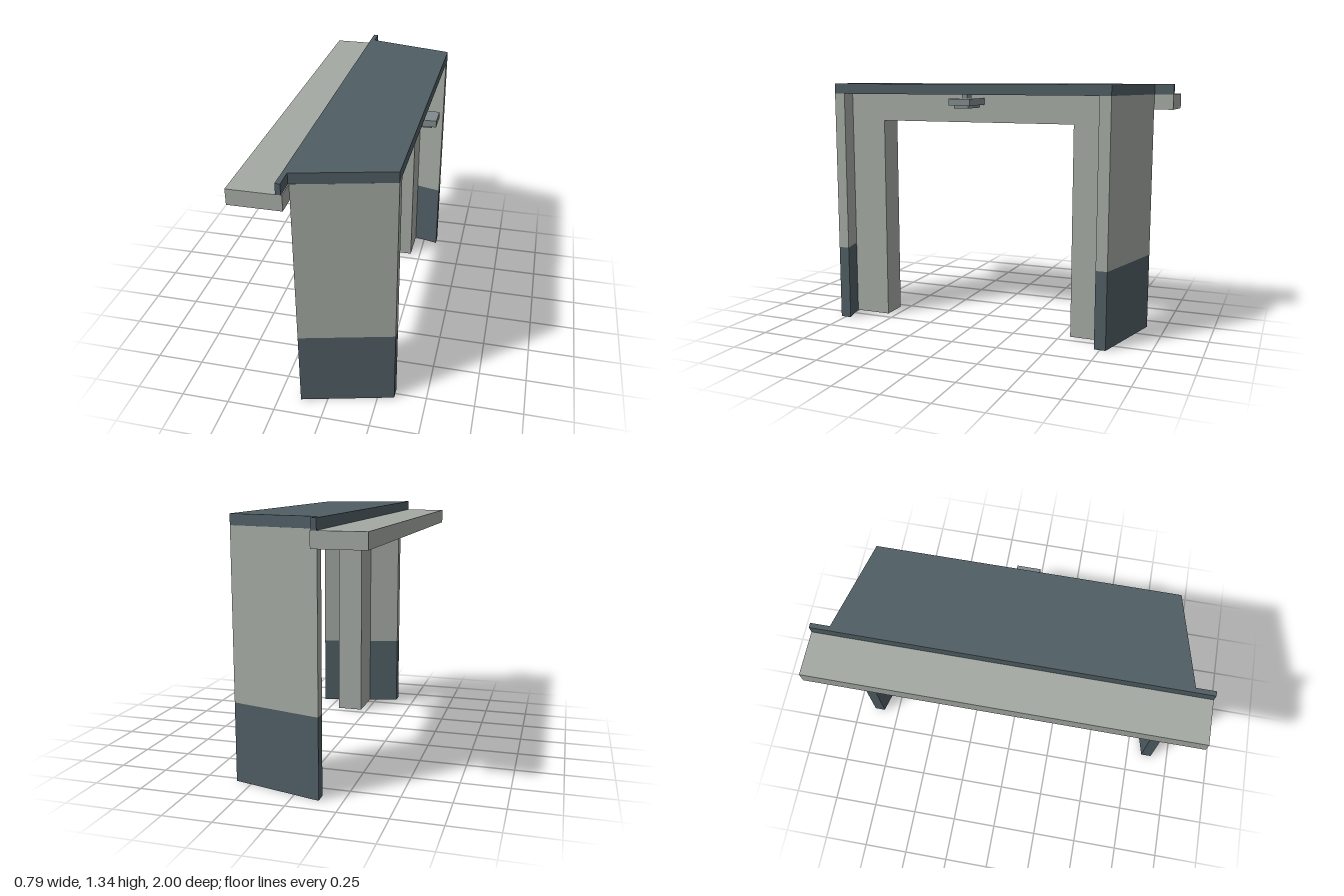
import * as THREE from 'three';

const light = new THREE.MeshStandardMaterial({ color: 0xa3a9a3 });
light.name = 'pale grey';
const dark = new THREE.MeshStandardMaterial({ color: 0x4f5d64 });
dark.name = 'slate';
const metal = new THREE.MeshStandardMaterial({ color: 0x828a8d });
metal.name = 'fitting grey';

// Box given by its lower and upper bounds
function block(name, material, [x0, y0, z0], [x1, y1, z1]) {
  const mesh = new THREE.Mesh(new THREE.BoxGeometry(x1 - x0, y1 - y0, z1 - z0), material);
  mesh.position.set((x0 + x1) / 2, (y0 + y1) / 2, (z0 + z1) / 2);
  mesh.name = name;
  return mesh;
}

// Upright prism over a plan outline of [x, z] points
function prism(name, material, plan, y0, y1) {
  const shape = new THREE.Shape(plan.map(([x, z]) => new THREE.Vector2(x, -z)));
  const geometry = new THREE.ExtrudeGeometry(shape, { depth: y1 - y0, bevelEnabled: false });
  geometry.rotateX(-Math.PI / 2).translate(0, y0, 0);
  const mesh = new THREE.Mesh(geometry, material);
  mesh.name = name;
  return mesh;
}

// Sensor: hanging stem, flat body and lower plate
function sensor(name, x0, x1) {
  const group = new THREE.Group();
  group.name = name;
  const mid = (x0 + x1) / 2;
  group.add(
    block('sensorStem', metal, [mid - 0.03, 1.26, -0.015], [mid + 0.03, 1.28, 0.015]),
    block('sensorBody', metal, [x0, 1.225, -0.06], [x1, 1.26, 0.06]),
    block('sensorPlate', metal, [x0 + 0.025, 1.21, -0.04], [x1 - 0.025, 1.225, 0.04])
  );
  return group;
}

export function createModel() {
  const model = new THREE.Group();
  model.name = 'gateway';

  // Splayed side panels with a dark base
  for (const s of [1, -1]) {
    const plan = [[-0.135, 0.9 * s], [0.335, 0.78 * s], [0.335, 0.72 * s], [-0.135, 0.84 * s]];
    const side = s > 0 ? 'front' : 'back';
    model.add(prism(side + 'PanelBase', dark, plan, 0, 0.41));
    model.add(prism(side + 'Panel', light, plan, 0.41, 1.28));
  }

  // Tapered roof with a full-width lip at the rear edge
  model.add(prism('roof', dark, [
    [-0.165, -1], [-0.14, -1], [-0.14, -0.9], [0.335, -0.78],
    [0.335, 0.78], [-0.14, 0.9], [-0.14, 1], [-0.165, 1]
  ], 1.28, 1.335));

  // Long rear beam
  model.add(block('rearBeam', light, [-0.395, 1.2, -1], [-0.135, 1.28, 1]));

  // Inner door frame: two legs and a lintel in one piece
  const outline = [[-0.8, 0], [-0.553, 0], [-0.553, 1.13], [0.553, 1.13],
    [0.553, 0], [0.8, 0], [0.8, 1.28], [-0.8, 1.28]];
  const frameShape = new THREE.Shape(outline.map(([z, y]) => new THREE.Vector2(z, y)));
  const frameGeometry = new THREE.ExtrudeGeometry(frameShape, { depth: 0.15, bevelEnabled: false });
  frameGeometry.rotateY(-Math.PI / 2).translate(0.19, 0, 0);
  const frame = new THREE.Mesh(frameGeometry, light);
  frame.name = 'doorFrame';
  model.add(frame);

  // Sensors on both sides of the lintel
  model.add(sensor('outerSensor', 0.192, 0.392));
  model.add(sensor('innerSensor', -0.11, 0.09));

  return model;
}
